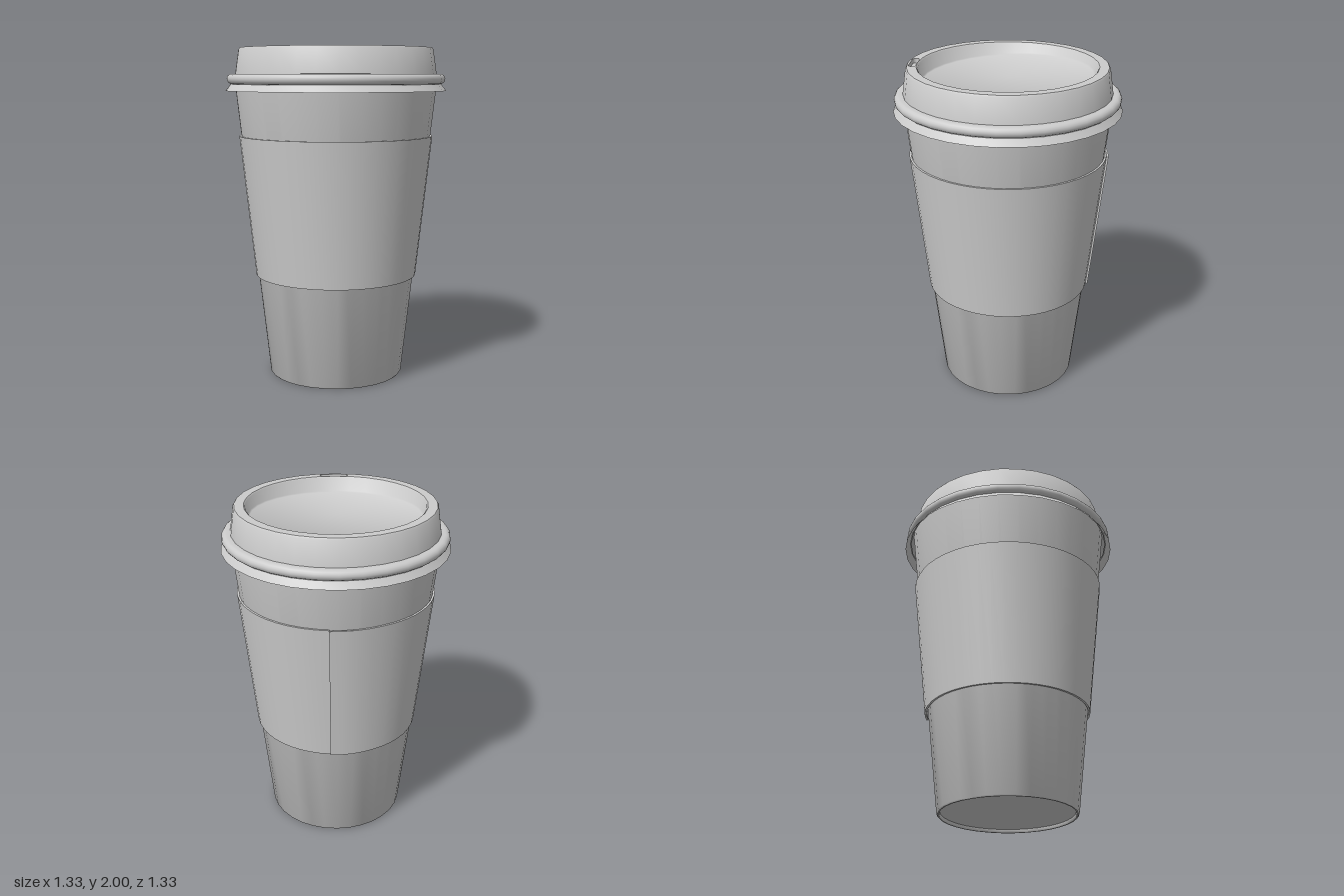
import * as THREE from 'three';
import { toCreasedNormals } from 'three/addons/utils/BufferGeometryUtils.js';

const SIDES = 32;
const grey = new THREE.MeshStandardMaterial({ color: 0xcccccc });
const greyThin = new THREE.MeshStandardMaterial({ color: 0xcccccc, side: THREE.DoubleSide });
const vectors = (list) => list.map(([r, y]) => new THREE.Vector2(r, y));

function addMesh(group, name, geometry, material = grey) {
  const mesh = new THREE.Mesh(geometry, material);
  mesh.name = name;
  group.add(mesh);
  return mesh;
}

const turned = (list) => toCreasedNormals(new THREE.LatheGeometry(vectors(list), SIDES), 0.7);

// Sleeve wrapped once round the cup, its free end lifted over the other end
function makeSleeve() {
  const [y0, y1, r0, r1, thick] = [0.62, 1.475, 0.494, 0.587, 0.012];
  const profile = [[r0, y0], [r1, y1], [r1 - thick, y1], [r0 - thick, y0], [r0, y0]];
  const start = Math.PI - 0.085;
  const geometry = new THREE.LatheGeometry(vectors(profile), 48, start, Math.PI * 2 + 0.03);
  const pos = geometry.attributes.position;
  for (let k = 0; k < pos.count; k++) {
    const step = Math.floor(k / profile.length);
    const lift = thick * Math.max(0, 1 - step / 4);
    const x = pos.getX(k), z = pos.getZ(k);
    const scale = 1 + lift / Math.hypot(x, z);
    pos.setXYZ(k, x * scale, pos.getY(k), z * scale);
  }
  // End face of the lifted flap
  const end = [];
  for (const j of [0, 1, 2, 3]) end.push(pos.getX(j), pos.getY(j), pos.getZ(j));
  const edge = new THREE.BufferGeometry();
  edge.setAttribute('position', new THREE.Float32BufferAttribute(end, 3));
  edge.setIndex([0, 1, 2, 0, 2, 3]);
  edge.computeVertexNormals();

  const sleeve = new THREE.Group();
  sleeve.name = 'sleeve';
  addMesh(sleeve, 'sleeveWrap', toCreasedNormals(geometry, 0.7));
  addMesh(sleeve, 'sleeveSeam', edge, greyThin);
  return sleeve;
}

function makeLid() {
  const lid = new THREE.Group();
  lid.name = 'lid';

  // Flared skirt, rounded bead and tapered wall
  const profile = [[0.667, 1.745], [0.637, 1.785]];
  for (let i = 0; i <= 8; i++) {
    const a = -Math.PI / 2 + (i / 8) * Math.PI;
    profile.push([0.63 + 0.03 * Math.cos(a), 1.816 + 0.03 * Math.sin(a)]);
  }
  profile.push([0.608, 1.846], [0.587, 1.99], [0.58, 2]);
  addMesh(lid, 'lidWall', turned(profile), greyThin);

  // Flat rim with the sip slot cut through it
  const rim = new THREE.Shape().absarc(0, 0, 0.58, 0, Math.PI * 2);
  rim.holes.push(new THREE.Path().absarc(0, 0, 0.525, 0, Math.PI * 2, true));
  const slot = new THREE.Path();
  slot.absarc(0.065, -0.546, 0.02, -Math.PI / 2, Math.PI / 2);
  slot.absarc(-0.065, -0.546, 0.02, Math.PI / 2, Math.PI * 1.5);
  slot.closePath();
  rim.holes.push(slot);
  const rimGeometry = new THREE.ExtrudeGeometry(rim, {
    depth: 0.03, bevelEnabled: false, curveSegments: SIDES / 2,
  });
  rimGeometry.rotateX(-Math.PI / 2).translate(0, 1.97, 0);
  addMesh(lid, 'lidRim', rimGeometry);
  const floor = new THREE.PlaneGeometry(0.18, 0.046).rotateX(-Math.PI / 2);
  addMesh(lid, 'sipSlotFloor', floor).position.set(0, 1.974, 0.546);

  // Sunken panel, sloping down towards the sip slot
  const well = new THREE.LatheGeometry(
    vectors([[0.525, 2], [0.517, 1.992], [0.501, 1.937], [0.493, 1.93], [0, 1.93]]), SIDES);
  const pos = well.attributes.position;
  for (let k = 0; k < pos.count; k++) {
    if (pos.getY(k) < 1.95) pos.setY(k, pos.getY(k) - 0.045 * pos.getZ(k));
  }
  addMesh(lid, 'lidPanel', toCreasedNormals(well, 0.9));
  return lid;
}

export function createModel() {
  const model = new THREE.Group();
  model.name = 'takeawayCup';
  // Tapered cup with a recessed base
  addMesh(model, 'cup', turned([
    [0, 0.02], [0.392, 0.02], [0.394, 0.004], [0.398, 0], [0.405, 0], [0.411, 0.008], [0.616, 1.84],
  ]), greyThin);
  model.add(makeSleeve(), makeLid());
  return model;
}
